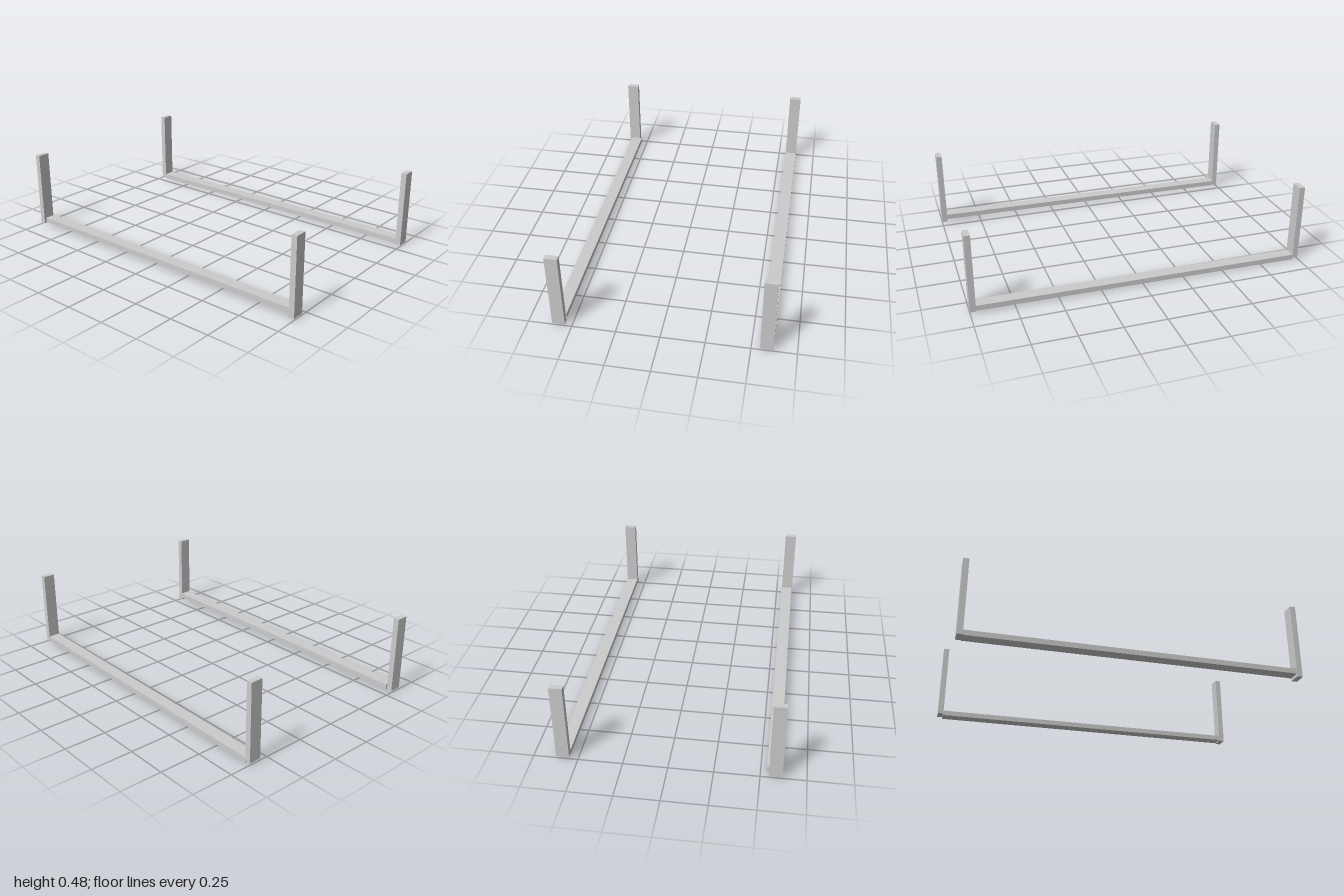
import * as THREE from 'three';

const material = new THREE.MeshStandardMaterial({ color: 0xcccccc, flatShading: true });

export function createModel() {
  const model = new THREE.Group();

  const addBox = (name, size, position, tilt = 0) => {
    const mesh = new THREE.Mesh(new THREE.BoxGeometry(...size), material);
    mesh.name = name;
    mesh.position.set(...position);
    mesh.rotation.z = tilt;
    model.add(mesh);
  };

  // Two separate U-shaped frames; each rail rises slightly toward +x
  const frames = [
    { name: 'front', railZ: 0.57, railY: 0.037, leftZ: 0.575, rightZ: 0.583 },
    { name: 'back', railZ: -0.585, railY: 0.0225, leftZ: -0.585, rightZ: -0.585 },
  ];
  const tilt = Math.atan2(0.014, 1.93);

  for (const { name, railZ, railY, leftZ, rightZ } of frames) {
    addBox(name + 'Rail', [1.935, 0.031, 0.072], [0, railY, railZ], tilt);
    // Upright posts at both ends
    addBox(name + 'LeftPost', [0.034, 0.464, 0.073], [0.983, 0.241, leftZ]);
    addBox(name + 'RightPost', [0.034, 0.464, 0.073], [-0.983, 0.243, rightZ]);
  }
  return model;
}
